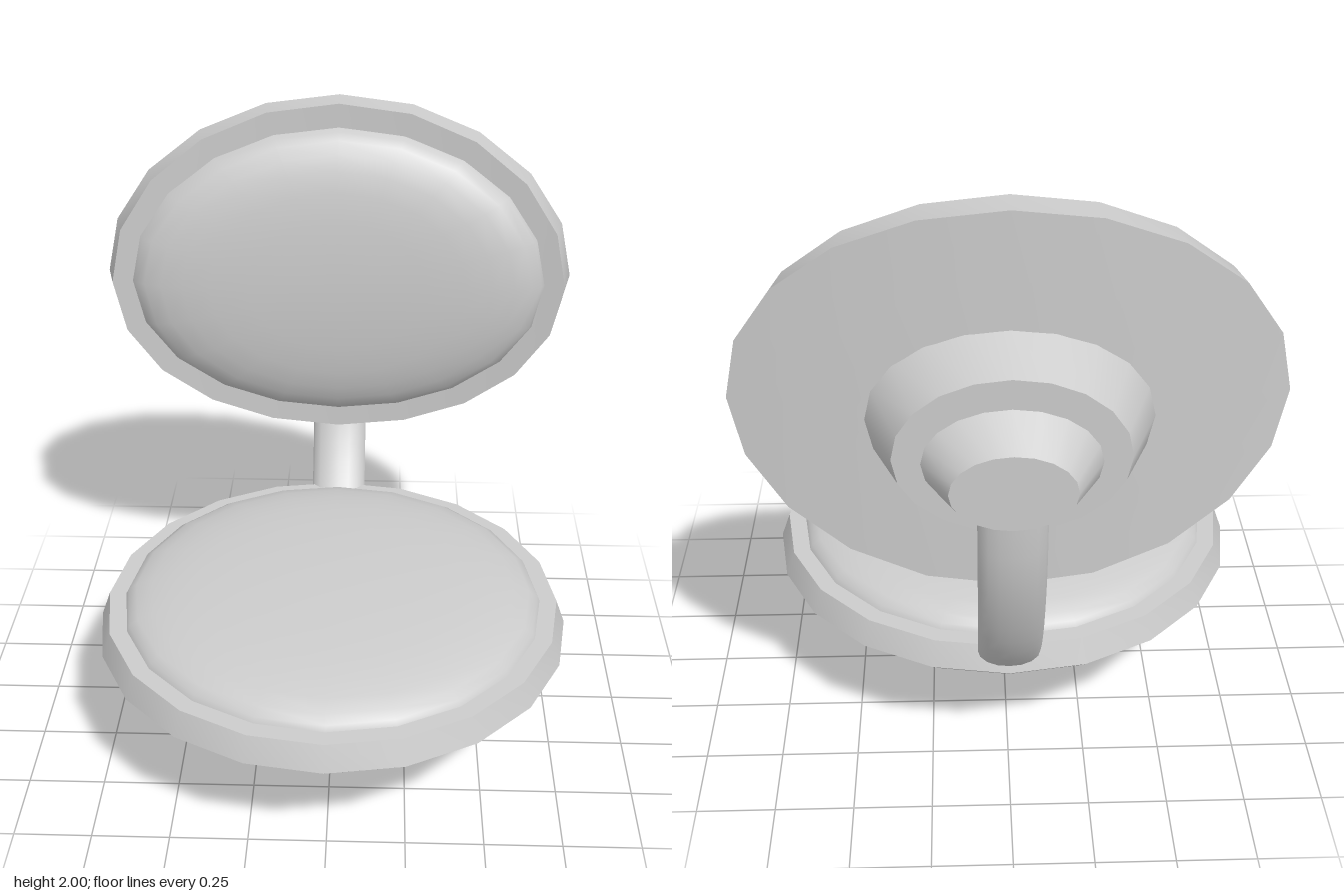
import * as THREE from 'three';
import { toCreasedNormals } from 'three/addons/utils/BufferGeometryUtils.js';

const SIDES = 20;
const material = new THREE.MeshStandardMaterial({ color: 0xcccccc });

// Lathe from [radius, height] pairs, listed from bottom to top
const lathe = (points) =>
  new THREE.LatheGeometry(points.map(([r, y]) => new THREE.Vector2(r, y)), SIDES);

// Move every vertex by a rule that edits the vector in place
function reshape(geometry, rule) {
  const p = geometry.attributes.position;
  const v = new THREE.Vector3();
  for (let i = 0; i < p.count; i++) {
    rule(v.fromBufferAttribute(p, i));
    p.setXYZ(i, v.x, v.y, v.z);
  }
  return geometry;
}

function part(name, geometry, x = 0, y = 0, z = 0) {
  const mesh = new THREE.Mesh(toCreasedNormals(geometry, 0.6), material);
  mesh.name = name;
  mesh.position.set(x, y, z);
  return mesh;
}

// Domed pad profile of given radius and height
const padProfile = (radius, height) =>
  [[1, 0], [0.985, 0.2], [0.945, 0.38], [0.87, 0.55], [0.77, 0.7], [0.64, 0.82], [0.45, 0.92], [0.23, 0.98], [0, 1]]
    .map(([r, h]) => [r * radius, h * height]);

// Turn a lathe to face +z, squash it to an ellipse and wrap its sides forward
function curvedPanel(points, squash) {
  const bend = 0.156;
  const g = lathe(points).rotateX(Math.PI / 2).scale(1, squash, 1);
  return reshape(g, (v) => {
    const { x, z } = v;
    v.x = x - z * 2 * bend * x;
    v.z = z + bend * x * x;
  });
}

// Elliptical stepped boss that points backwards and drops slightly
function hub(name, r0, r1, depth, squash, drop, y, z) {
  const g = lathe([[r0, 0], [r1, depth], [0, depth]]);
  g.rotateX(-Math.PI / 2).scale(1, squash, 1);
  reshape(g, (v) => { v.y += (v.z / depth) * drop; });
  return part(name, g, 0, y, z);
}

export function createModel() {
  const model = new THREE.Group();
  model.name = 'chair';

  // Seat: shallow dish that runs down into a spike
  const seat = new THREE.Group();
  seat.name = 'seat';
  seat.position.z = 0.15;
  seat.add(
    part('seatShell', lathe([
      [0, 0], [0.012, 0.07], [0.026, 0.12], [0.045, 0.16], [0.07, 0.205], [0.095, 0.245], [0.12, 0.275],
      [0.18, 0.297], [0.27, 0.322], [0.375, 0.345], [0.55, 0.373], [0.735, 0.4],
      [0.78, 0.44], [0.75, 0.523], [0.6, 0.523], [0, 0.523],
    ])),
    part('seatCushion', lathe(padProfile(0.695, 0.105)), 0, 0.52, 0),
  );
  model.add(seat);

  // Backrest: curved oval plate with a domed pad and two rear bosses
  const back = new THREE.Group();
  back.name = 'backrest';
  back.add(
    part('backShell', curvedPanel([
      [0, 0], [0.27, 0], [0.53, 0], [0.8, 0], [0.8, 0.11], [0.53, 0.11], [0.27, 0.11], [0, 0.11],
    ], 0.747), 0, 1.402, -0.653),
    part('backCushion', curvedPanel(padProfile(0.71, 0.14), 0.73), 0, 1.402, -0.545),
    hub('largeHub', 0.415, 0.33, 0.2, 0.735, 0.02, 1.365, -0.61),
    hub('smallHub', 0.25, 0.175, 0.125, 0.67, 0.02, 1.33, -0.81),
  );
  model.add(back);

  // Arm: flattened tube sweeping from the spike up to the small hub
  const path = new THREE.CatmullRomCurve3([
    [0.225, 0.13], [0.225, -0.02], [0.255, -0.19], [0.325, -0.37], [0.45, -0.54],
    [0.625, -0.69], [0.83, -0.795], [1.03, -0.855], [1.25, -0.876],
  ].map(([y, z]) => new THREE.Vector3(0, y, z)));
  model.add(part('arm', new THREE.TubeGeometry(path, 20, 0.049, 16, false).scale(2, 1, 1)));

  return model;
}
